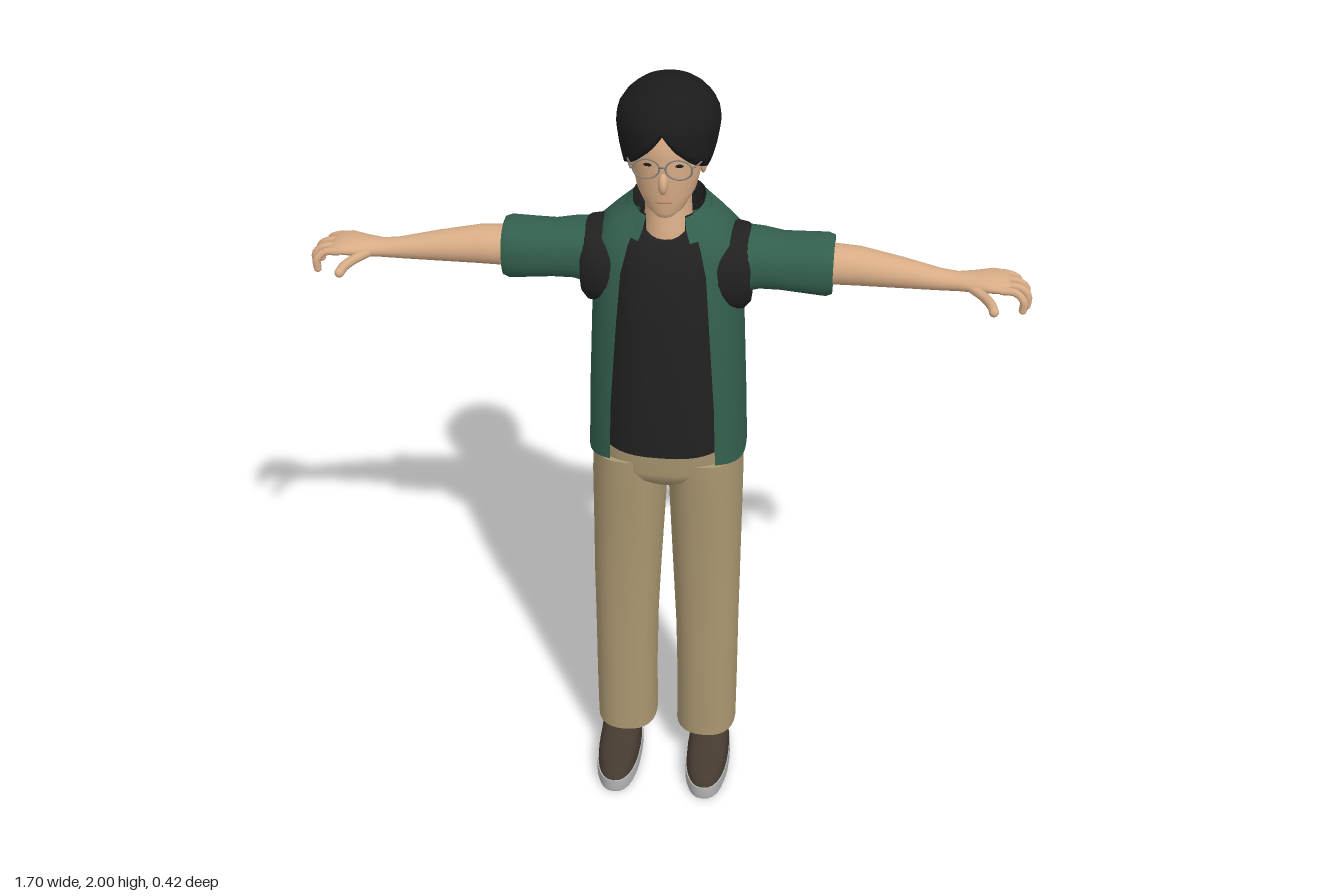
import * as THREE from 'three';
import { mergeVertices } from 'three/addons/utils/BufferGeometryUtils.js';

const mat = (name, color, side = THREE.FrontSide) => {
  const m = new THREE.MeshStandardMaterial({ color, side });
  m.name = name;
  return m;
};

// Grid surface: fn(column, row) -> [x, y, z], rows running upward
function grid(cols, rows, fn, wrap, caps) {
  const pos = [], idx = [];
  for (let i = 0; i < rows; i++) for (let j = 0; j < cols; j++) pos.push(...fn(j, i));
  for (let i = 0; i < rows - 1; i++) for (let j = 0; j < (wrap ? cols : cols - 1); j++) {
    const k = (j + 1) % cols, a = i * cols + j, b = i * cols + k;
    idx.push(a, b, a + cols, b, b + cols, a + cols);
  }
  // End caps get their own vertices so their rims stay sharp
  if (caps) for (const i of [0, rows - 1]) {
    const s = pos.length / 3, mid = [0, 0, 0];
    for (let j = 0; j < cols; j++) {
      const p = fn(j, i);
      pos.push(...p);
      p.forEach((v, k) => { mid[k] += v / cols; });
    }
    pos.push(...mid);
    for (let j = 0; j < cols; j++) {
      const k = (j + 1) % cols;
      if (i) idx.push(s + j, s + k, s + cols); else idx.push(s + k, s + j, s + cols);
    }
  }
  const g = new THREE.BufferGeometry();
  g.setAttribute('position', new THREE.Float32BufferAttribute(pos, 3));
  g.setIndex(idx);
  g.computeVertexNormals();
  return g;
}

// Superellipse sections [y, cx, cz, rx, rz, frontEdgeX]; a front edge leaves the front open
function loft(rows, { n = 2, seg = 28, open = false, caps = !open, shift = () => 0 } = {}) {
  const p = (v) => Math.sign(v) * Math.abs(v) ** (2 / n);
  return grid(open ? seg + 1 : seg, rows.length, (j, i) => {
    const [y, cx, cz, rx, rz, edge] = rows[i];
    const t0 = open ? Math.asin((edge / rx) ** (n / 2)) : 0;
    const t = t0 + (j / seg) * (2 * Math.PI - 2 * t0);
    return [cx + rx * p(Math.sin(t)), y + shift(t, i), cz + rz * p(Math.cos(t))];
  }, !open, caps);
}

// Sections along x: [x, cy, cz, ry, rz]
const loftX = (rows, opts) =>
  loft(rows.map(([x, cy, cz, ry, rz]) => [x, -cy, cz, ry, rz]), opts).rotateZ(-Math.PI / 2);

function mirrored(geo) {
  const g = geo.clone().scale(-1, 1, 1), a = g.index.array;
  for (let i = 0; i < a.length; i += 3) [a[i], a[i + 1]] = [a[i + 1], a[i]];
  return g;
}

const ball = (x, y, z, sx, sy, sz) => new THREE.SphereGeometry(1, 14, 10).scale(sx, sy, sz).translate(x, y, z);
const tube = (pts, r, seg = 10) => new THREE.TubeGeometry(
  new THREE.CatmullRomCurve3(pts.map((p) => new THREE.Vector3(...p))), seg, r, 8);

function lerpTable(table, v) {
  for (let i = 1; i < table.length; i++) {
    const [a, b] = [table[i - 1], table[i]];
    if (v <= b[0]) return a[1] + (b[1] - a[1]) * Math.max(0, (v - a[0]) / (b[0] - a[0]));
  }
  return table[table.length - 1][1];
}

export function createModel() {
  const model = new THREE.Group();
  model.name = 'standingMan';
  const skin = mat('skin', 0xd8ac86), lip = mat('lips', 0xb98468);
  const hairMat = mat('hair', 0x1b1b1b, THREE.DoubleSide);
  const black = mat('blackCloth', 0x212122, THREE.DoubleSide);
  const green = mat('greenCloth', 0x335f4d, THREE.DoubleSide);
  const tan = mat('tanTrousers', 0xaa9771);
  const shoe = mat('shoeLeather', 0x443a30), sole = mat('shoeSole', 0xb4b4b4);
  const metal = mat('glassesMetal', 0x85807a);

  const add = (name, geo, m) => {
    const mesh = new THREE.Mesh(geo, m);
    mesh.name = name;
    model.add(mesh);
  };
  const pair = (name, geo, m) => {
    add(name + 'Left', geo, m);
    add(name + 'Right', mirrored(geo), m);
  };

  // Head and neck
  add('head', loft([
    [1.695, 0, 0.03, 0.022, 0.025], [1.71, 0, 0.018, 0.043, 0.046], [1.75, 0, -0.005, 0.068, 0.071],
    [1.8, 0, -0.015, 0.08, 0.086], [1.85, 0, -0.02, 0.085, 0.091], [1.9, 0, -0.03, 0.085, 0.1],
    [1.95, 0, -0.04, 0.06, 0.07]]), skin);
  add('neck', loft([
    [1.56, 0, -0.035, 0.06, 0.075], [1.62, 0, -0.035, 0.06, 0.074], [1.66, 0, -0.038, 0.056, 0.064],
    [1.72, 0, -0.04, 0.053, 0.058], [1.77, 0, -0.045, 0.055, 0.06]]), skin);
  add('nose', ball(0, 1.79, 0.071, 0.012, 0.026, 0.02), skin);
  add('mouth', ball(0, 1.74, 0.064, 0.02, 0.004, 0.005), lip);
  pair('ear', ball(0.083, 1.812, -0.012, 0.009, 0.03, 0.018), skin);
  pair('eye', ball(0.034, 1.833, 0.0625, 0.012, 0.004, 0.004), hairMat);

  // Hair: a cap with a centre parting and a hemline that varies around the head
  const hem = [[0, 1.915], [0.22, 1.88], [0.6, 1.84], [1.05, 1.815], [1.45, 1.835],
    [1.8, 1.79], [2.2, 1.74], [Math.PI, 1.735]];
  const girth = [[1.735, 0.58], [1.79, 0.76], [1.85, 0.93], [1.9, 1], [1.93, 0.96],
    [1.96, 0.8], [1.98, 0.59], [1.992, 0.37], [1.998, 0.18], [2, 0]];
  const hairRows = 14;
  add('hair', grid(48, hairRows + 1, (j, i) => {
    const a = (j / 48) * 2 * Math.PI, edge = lerpTable(hem, Math.min(a, 2 * Math.PI - a));
    const f = i ? ((hairRows - i) / (hairRows - 1)) ** 1.7 : 1;
    const y = 2 - (2 - edge) * f;
    let r = lerpTable(girth, y);
    if (y < 1.9) r += (1 - r) * Math.max(0, Math.cos(a));
    if (!i) r *= 0.82;
    return [0.12 * r * Math.sin(a), y + (i ? 0 : 0.006), -0.043 + 0.135 * r * Math.cos(a)];
  }, true), hairMat);

  // Glasses
  pair('glassesRim', new THREE.TorusGeometry(0.03, 0.0022, 6, 28).scale(1, 0.8, 1).translate(0.037, 1.833, 0.083), metal);
  pair('glassesTemple', tube([[0.066, 1.84, 0.083], [0.08, 1.84, 0.06], [0.09, 1.835, -0.01]], 0.002), metal);
  add('glassesBridge', tube([[-0.008, 1.836, 0.084], [0, 1.841, 0.09], [0.008, 1.836, 0.084]], 0.002), metal);

  // Dark undershirt with a dipped neckline
  add('undershirt', loft([
    [1.07, 0, -0.027, 0.16, 0.154], [1.2, 0, -0.027, 0.158, 0.152], [1.42, 0, -0.03, 0.14, 0.14],
    [1.55, 0, -0.035, 0.13, 0.125], [1.62, 0, -0.04, 0.12, 0.105], [1.672, 0, -0.046, 0.075, 0.088]],
  { n: 2.6, seg: 40, shift: (t, i) => (i === 5 ? -0.042 * Math.max(0, Math.cos(t)) ** 4 : 0) , caps: false }), black);
  add('undershirtHem', loft([[1.068, 0, -0.027, 0.16, 0.154], [1.075, 0, -0.027, 0.16, 0.154]], { n: 2.6, seg: 40 }), black);

  // Open overshirt
  add('overshirt', loft([
    [1.012, 0, -0.045, 0.196, 0.165, 0.13], [1.2, 0, -0.04, 0.19, 0.16, 0.125],
    [1.42, 0, -0.037, 0.181, 0.142, 0.11], [1.55, 0, -0.042, 0.178, 0.127, 0.1],
    [1.615, 0, -0.047, 0.174, 0.112, 0.085], [1.65, 0, -0.055, 0.135, 0.1, 0.072],
    [1.69, 0, -0.063, 0.085, 0.085, 0.06]],
  { n: 2.6, seg: 44, open: true, shift: (t, i) => (i ? 0 : 0.035 * Math.cos(t) ** 2) }), green);

  // Folded collar with a dark lining
  add('collar', loft([
    [1.648, 0, -0.045, 0.122, 0.112, 0.06], [1.675, 0, -0.05, 0.104, 0.102, 0.05], [1.698, 0, -0.055, 0.086, 0.09, 0.045]],
  { n: 2.2, seg: 32, open: true, shift: (t) => -0.02 * Math.max(0, Math.cos(t)) }), green);
  add('collarLining', loft([
    [1.64, 0, -0.05, 0.078, 0.084, 0.045], [1.702, 0, -0.055, 0.085, 0.089, 0.045]],
  { n: 2.2, seg: 32, open: true, shift: (t) => -0.02 * Math.max(0, Math.cos(t)) }), black);

  // Armhole bands and short sleeves
  pair('armholeBand', loftX([
    [0.12, 1.53, -0.037, 0.095, 0.1], [0.155, 1.53, -0.037, 0.105, 0.103],
    [0.185, 1.53, -0.036, 0.102, 0.092], [0.2, 1.535, -0.036, 0.088, 0.082]], { n: 2.2 }), black);
  pair('sleeve', loftX([
    [0.178, 1.55, -0.035, 0.078, 0.08], [0.22, 1.555, -0.035, 0.07, 0.076], [0.27, 1.55, -0.035, 0.066, 0.072],
    [0.33, 1.547, -0.036, 0.071, 0.07], [0.375, 1.545, -0.037, 0.074, 0.07], [0.39, 1.545, -0.037, 0.068, 0.065]],
  { n: 2.3 }), green);

  // Arms, hands and curled fingers
  pair('arm', loftX([
    [0.36, 1.55, -0.033, 0.05, 0.05], [0.45, 1.55, -0.029, 0.046, 0.049], [0.55, 1.544, -0.02, 0.036, 0.039],
    [0.64, 1.538, -0.01, 0.025, 0.029], [0.68, 1.538, -0.006, 0.022, 0.027], [0.72, 1.541, -0.005, 0.021, 0.038],
    [0.76, 1.545, -0.005, 0.019, 0.05], [0.79, 1.543, -0.007, 0.014, 0.05], [0.8, 1.541, -0.007, 0.008, 0.045]]), skin);
  [[-0.047, 0.825], [-0.018, 0.842], [0.011, 0.845], [0.036, 0.835]].forEach(([z, x], i) => {
    const zt = z * 1.2, tip = [x - 0.004, 1.487 + i * 0.004, zt];
    pair('finger' + (i + 1), tube([[0.775, 1.543, z], [x - 0.024, 1.54, z], [x - 0.004, 1.522, zt], tip], 0.0095), skin);
    pair('fingertip' + (i + 1), ball(...tip, 0.0095, 0.0095, 0.0095), skin);
  });
  pair('thumb', tube([[0.705, 1.538, 0.015], [0.74, 1.532, 0.05], [0.757, 1.528, 0.08], [0.762, 1.524, 0.1]], 0.0115), skin);
  pair('thumbTip', ball(0.762, 1.524, 0.1, 0.0115, 0.0115, 0.0115), skin);

  // Trousers
  add('trouserHips', loft([
    [0.935, 0, -0.045, 0.07, 0.1], [0.96, 0, -0.045, 0.15, 0.125], [0.99, 0, -0.045, 0.187, 0.138],
    [1.09, 0, -0.045, 0.188, 0.14]], { n: 2.5, seg: 36 }), tan);
  pair('trouserLeg', loft([
    [0.105, 0.108, -0.022, 0.08, 0.093], [0.25, 0.109, -0.02, 0.08, 0.092], [0.45, 0.107, -0.02, 0.082, 0.092],
    [0.6, 0.104, -0.022, 0.086, 0.094], [0.8, 0.099, -0.035, 0.091, 0.112], [0.93, 0.096, -0.042, 0.094, 0.13],
    [1.02, 0.095, -0.045, 0.092, 0.135]], { n: 2.4 }), tan);

  // Shoes
  pair('shoeSole', loft([
    [0, 0.121, 0.06, 0.056, 0.147], [0.01, 0.121, 0.06, 0.059, 0.15], [0.04, 0.121, 0.06, 0.058, 0.149]], { n: 2.4 }), sole);
  pair('shoeUpper', loft([
    [0.038, 0.121, 0.06, 0.056, 0.147], [0.06, 0.121, 0.056, 0.055, 0.141], [0.072, 0.121, 0.04, 0.053, 0.122],
    [0.09, 0.121, 0.01, 0.052, 0.092], [0.11, 0.119, -0.012, 0.05, 0.07], [0.14, 0.115, -0.02, 0.048, 0.062]],
  { n: 2.3 }), shoe);

  return model;
}
